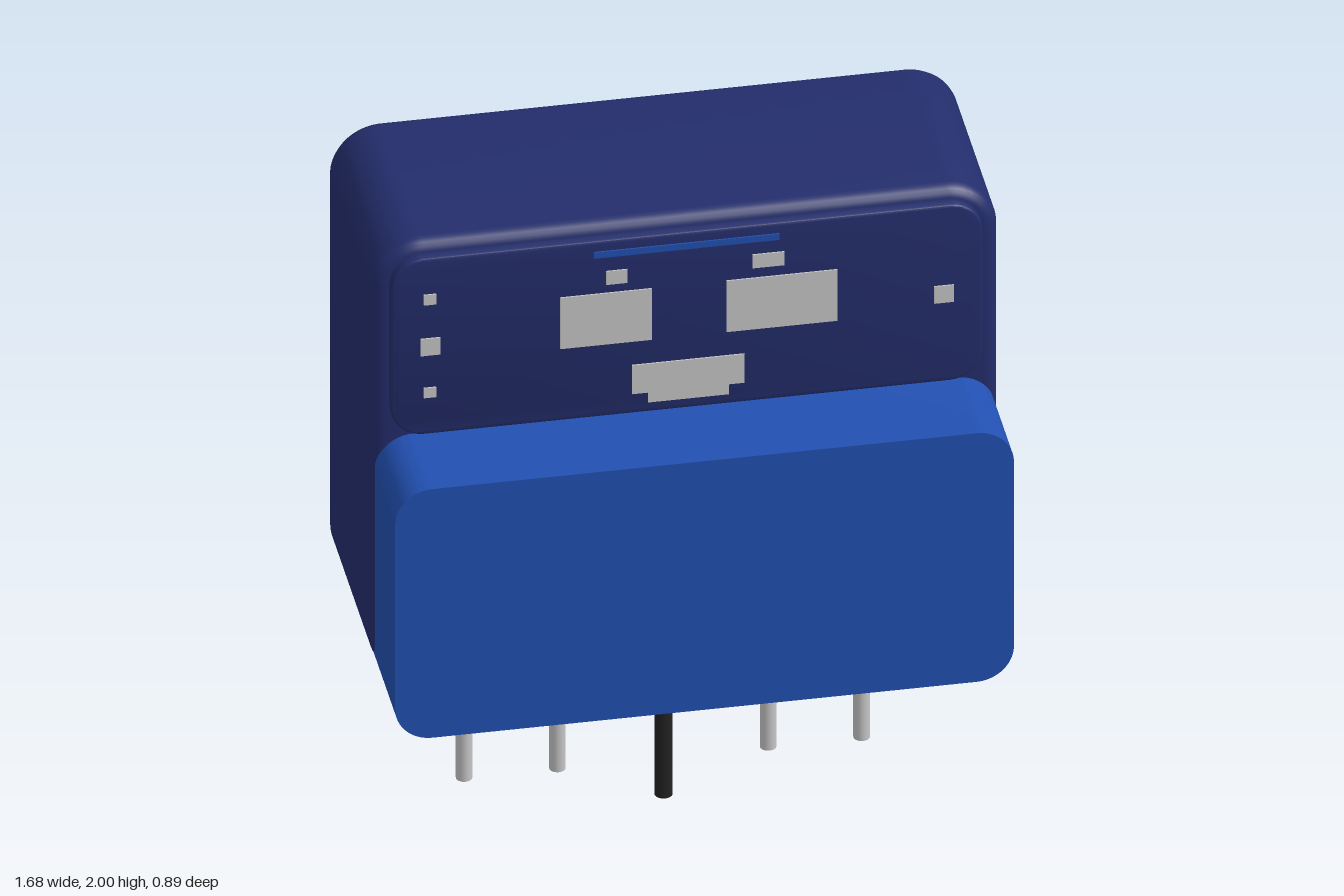
import * as THREE from 'three';
import { toCreasedNormals } from 'three/addons/utils/BufferGeometryUtils.js';

const material = (name, color) => Object.assign(new THREE.MeshStandardMaterial({ color }), { name });

// Rounded rectangle outline centred on x = 0
function roundedRect(halfWidth, y0, y1, r) {
  const s = new THREE.Shape();
  s.absarc(halfWidth - r, y0 + r, r, -Math.PI / 2, 0);
  s.absarc(halfWidth - r, y1 - r, r, 0, Math.PI / 2);
  s.absarc(-halfWidth + r, y1 - r, r, Math.PI / 2, Math.PI);
  s.absarc(-halfWidth + r, y0 + r, r, Math.PI, Math.PI * 1.5);
  s.closePath();
  return s;
}

// Rounded slab from z0 to z1 whose outer size includes the bevel
function slab(halfWidth, y0, y1, r, z0, z1, bevel = 0) {
  const shape = roundedRect(halfWidth - bevel, y0 + bevel, y1 - bevel, r - bevel);
  const geo = new THREE.ExtrudeGeometry(shape, {
    depth: z1 - z0 - 2 * bevel, curveSegments: 10, bevelEnabled: bevel > 0,
    bevelSize: bevel, bevelThickness: bevel, bevelSegments: 5,
  });
  geo.translate(0, 0, z0 + bevel);
  return toCreasedNormals(geo, 0.6);
}

export function createModel() {
  const navy = material('navy', 0x232d6b);
  const blue = material('blue', 0x2250b2);
  const grey = material('lightGrey', 0xc6c6c6);
  const black = material('black', 0x222222);

  const model = new THREE.Group();
  model.name = 'plugInModule';
  const add = (name, geo, mat, x = 0, y = 0, z = 0) => {
    const mesh = new THREE.Mesh(geo, mat);
    mesh.name = name;
    mesh.position.set(x, y, z);
    model.add(mesh);
  };

  // Housing, lower front block and upper face panel
  add('body', slab(0.84, 0.63, 2, 0.14, -0.445, 0.175, 0.04), navy);
  add('frontBlock', slab(0.828, 0.63, 1.408, 0.1, 0.1, 0.45), blue);
  add('facePanel', slab(0.792, 1.418, 1.968, 0.09, 0.165, 0.203, 0.008), navy);

  // Painted details on the panel: x0, x1, y0, y1
  const plate = (name, mat, [x0, x1, y0, y1]) =>
    add(name, new THREE.BoxGeometry(x1 - x0, y1 - y0, 0.008), mat, (x0 + x1) / 2, (y0 + y1) / 2, 0.203);
  plate('topStripe', blue, [-0.25, 0.247, 1.917, 1.936]);
  [
    [-0.34, -0.095, 1.645, 1.805], [0.105, 0.402, 1.645, 1.805],
    [-0.217, -0.16, 1.831, 1.873], [0.175, 0.26, 1.836, 1.878],
    [-0.148, 0.153, 1.481, 1.571], [-0.105, 0.111, 1.45, 1.481],
    [-0.705, -0.672, 1.825, 1.857], [-0.714, -0.661, 1.667, 1.72],
    [-0.705, -0.672, 1.535, 1.566], [0.661, 0.714, 1.667, 1.72],
  ].forEach((rect, i) => plate(`panelMark${i + 1}`, grey, rect));

  // Vertical rod from y0 to y1
  const rod = (name, mat, r, y0, y1, x, z) =>
    add(name, new THREE.CylinderGeometry(r, r, y1 - y0, 20), mat, x, (y0 + y1) / 2, z);

  // Collar with a chamfered lower rim
  const collar = (name, r, y0, x) => {
    const points = [[0, y0], [r - 0.008, y0], [r, y0 + 0.01], [r, 0.65]]
      .map(([px, py]) => new THREE.Vector2(px, py));
    add(name, toCreasedNormals(new THREE.LatheGeometry(points, 20), 0.6), black, x, 0, -0.13);
  };

  // Metal pins in black collars
  [-0.534, -0.284, 0.28, 0.53].forEach((x, i) => {
    collar(`pinCollar${i + 1}`, 0.038, 0.555, x);
    rod(`pin${i + 1}`, grey, 0.022, 0.115, 0.6, x, -0.13);
  });

  // Central cable
  collar('cableCollar', 0.05, 0.53, 0);
  rod('cable', black, 0.024, 0, 0.6, 0, -0.13);

  // Short stubs beneath the front block
  [-0.547, -0.275, 0.26, 0.546].forEach((x, i) =>
    rod(`stub${i + 1}`, grey, 0.028, 0.576, 0.65, x, 0.305));

  return model;
}
